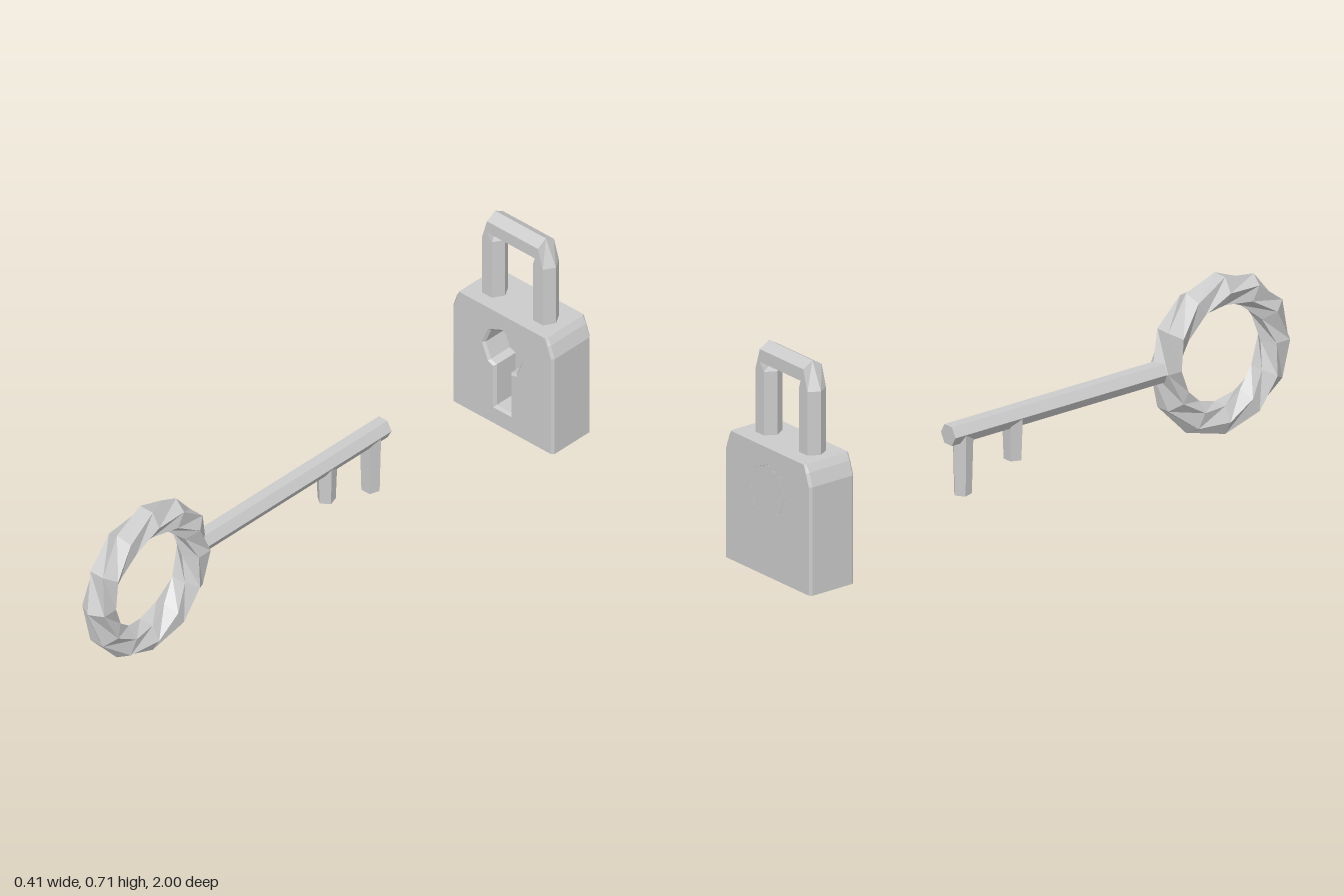
import * as THREE from 'three';

const material = new THREE.MeshStandardMaterial({ color: 0xcccccc, flatShading: true });

function add(parent, name, geometry) {
  const mesh = new THREE.Mesh(geometry, material);
  mesh.name = name;
  parent.add(mesh);
  return mesh;
}

// Skin a list of rings (arrays of [x, y, z]) into an open-ended tube
function loft(rings) {
  const n = rings[0].length, index = [];
  for (let i = 0; i < rings.length - 1; i++) {
    for (let j = 0; j < n; j++) {
      const a = i * n + j, b = i * n + (j + 1) % n;
      index.push(a, b, b + n, a, b + n, a + n);
    }
  }
  const g = new THREE.BufferGeometry();
  g.setAttribute('position', new THREE.Float32BufferAttribute(rings.flat(2), 3));
  g.setIndex(index);
  g.computeVertexNormals();
  return g;
}

// Keyhole outline: octagon with a slot below
function keyholePoints(grow) {
  const r = 0.075 + grow, w = 0.03 + grow, cy = 0.277, pts = [];
  for (let k = -1; k <= 5; k++) {
    const a = k * Math.PI / 4;
    pts.push(new THREE.Vector2(r * Math.cos(a), cy + r * Math.sin(a)));
  }
  // where the slot meets the lower octagon sides
  const d = r * Math.SQRT1_2;
  const joinY = cy - r + (r - d) * (w / d);
  pts.push(new THREE.Vector2(-w, joinY), new THREE.Vector2(-w, 0.065 - grow),
    new THREE.Vector2(w, 0.065 - grow), new THREE.Vector2(w, joinY));
  return pts;
}

function createPadlock() {
  const lock = new THREE.Group();
  lock.name = 'padlock';

  // Body with clipped top corners, chamfered sides and a keyhole
  const half = [[0.207, 0], [0.207, 0.35], [0.192, 0.393], [0.178, 0.415]];
  const outline = [...half, ...half.slice().reverse().map(([x, y]) => [-x, y])];
  const shape = new THREE.Shape(outline.map(([x, y]) => new THREE.Vector2(x, y)));
  shape.holes.push(new THREE.Path(keyholePoints(0)));
  const bevel = 0.008;
  const body = new THREE.ExtrudeGeometry(shape, {
    depth: 0.17 - 2 * bevel, bevelEnabled: true, bevelSegments: 1,
    bevelSize: bevel, bevelThickness: bevel, bevelOffset: -bevel,
  });
  // keep the top and bottom edges square
  const p = body.attributes.position;
  for (let i = 0; i < p.count; i++) {
    if (p.getY(i) < 0.02) p.setY(i, 0);
    if (p.getY(i) > 0.404) p.setY(i, 0.415);
  }
  body.computeVertexNormals();
  body.translate(0, 0, -1 + bevel);
  add(lock, 'lockBody', body);

  // Floor of the keyhole, closing the back
  const floor = new THREE.ExtrudeGeometry(new THREE.Shape(keyholePoints(bevel)),
    { depth: 0.08, bevelEnabled: false });
  add(lock, 'keyholeFloor', floor.translate(0, 0, -1));

  // Shackle: hexagonal bar, up one leg, across and down the other
  const section = place => Array.from({ length: 6 }, (_, k) => {
    const a = k * Math.PI / 3;
    const [x, y] = place(0.041 * Math.cos(a));
    return [x, y, -0.91 + 0.041 * Math.sin(a)];
  });
  add(lock, 'shackle', loft([
    section(u => [-0.104 - u, 0.4]),
    section(u => [-0.104 - u, 0.62]),
    section(u => [-0.104, 0.667 + u]),
    section(u => [0.104, 0.667 + u]),
    section(u => [0.104 + u, 0.62]),
    section(u => [0.104 + u, 0.4]),
  ]));
  return lock;
}

function createKey() {
  const key = new THREE.Group();
  key.name = 'key';

  // Ring handle: each section turns half a facet, giving diamond faces
  const sides = 6, segments = 12, R = 0.208, r = 0.052;
  const ring = new THREE.TorusGeometry(R, r, sides, segments);
  const p = ring.attributes.position;
  for (let j = 0; j <= sides; j++) {
    for (let i = 0; i <= segments; i++) {
      const u = i / segments * Math.PI * 2;
      const v = (j + i / 2) / sides * Math.PI * 2;
      const d = R + r * Math.cos(v);
      p.setXYZ(j * (segments + 1) + i, d * Math.cos(u), d * Math.sin(u), r * Math.sin(v));
    }
  }
  ring.computeVertexNormals();
  add(key, 'bow', ring.rotateY(Math.PI / 2)).position.set(0.008, 0.28, 0.743);

  // Hexagonal shaft along z, wide points to the sides
  const shaft = new THREE.CylinderGeometry(0.035, 0.035, 0.825, 6);
  shaft.rotateY(Math.PI / 6 + Math.PI / 3).rotateX(Math.PI / 2);
  add(key, 'shaft', shaft).position.set(0.001, 0.281, 0.1075);

  // Two teeth of different length
  for (const [name, z, bottom, turn] of [
    ['innerTooth', -0.056, 0.144, 0], ['outerTooth', -0.252, 0.08, Math.PI / 5]]) {
    const h = 0.28 - bottom;
    const tooth = new THREE.CylinderGeometry(0.034, 0.029, h, 5).rotateY(turn);
    add(key, name, tooth).position.set(0, bottom + h / 2, z);
  }
  return key;
}

export function createModel() {
  const model = new THREE.Group();
  model.name = 'padlockAndKey';
  model.add(createPadlock(), createKey());
  return model;
}
